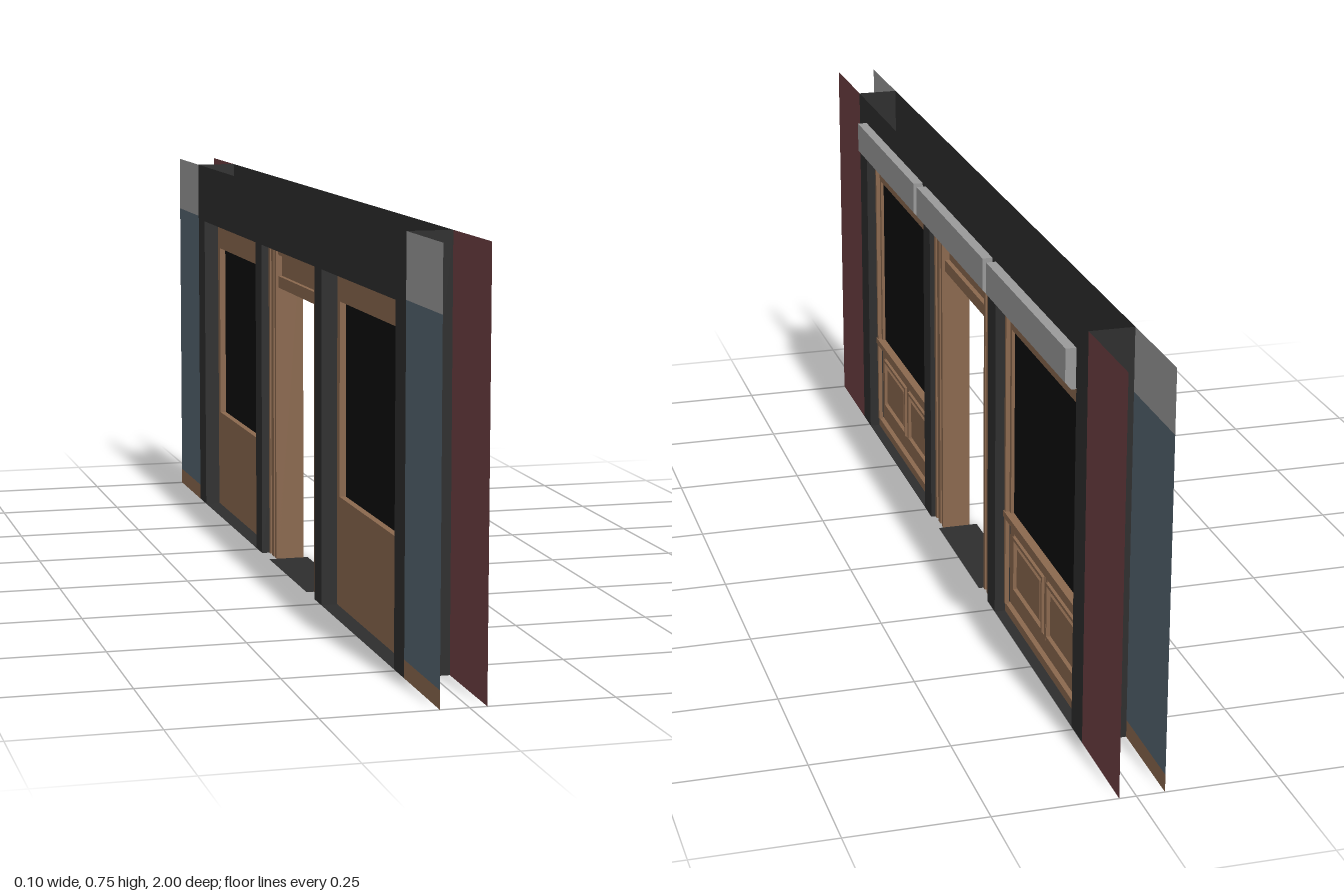
import * as THREE from 'three';

const mat = (name, color, side = THREE.DoubleSide) => {
  const m = new THREE.MeshStandardMaterial({ color, side });
  m.name = name;
  return m;
};

export function createModel() {
  const charcoal = mat('charcoal paint', 0x2e2e2e);
  const wood = mat('brown wood', 0x8a684e);
  const black = mat('black glass', 0x0d0d0d);
  const grey = mat('light grey', 0x999999);
  const red = mat('dark red wall', 0x6e4042);
  const blue = mat('slate blue wall', 0x55646f);

  const group = new THREE.Group();
  group.name = 'shopfront';

  const add = (parent, name, geometry, material) => {
    const mesh = new THREE.Mesh(geometry, material);
    mesh.name = name;
    parent.add(mesh);
    return mesh;
  };
  // Box given by its ranges on each axis
  const box = (parent, name, m, x0, x1, y0, y1, z0, z1) =>
    add(parent, name, new THREE.BoxGeometry(x1 - x0, y1 - y0, z1 - z0), m)
      .position.set((x0 + x1) / 2, (y0 + y1) / 2, (z0 + z1) / 2);
  // Zero-thickness sheets facing x, y and z
  const sheetX = (parent, name, m, x, y0, y1, z0, z1) =>
    add(parent, name, new THREE.PlaneGeometry(z1 - z0, y1 - y0).rotateY(x < 0 ? -Math.PI / 2 : Math.PI / 2), m)
      .position.set(x, (y0 + y1) / 2, (z0 + z1) / 2);
  const sheetY = (parent, name, m, y, x0, x1, z0, z1) =>
    add(parent, name, new THREE.PlaneGeometry(x1 - x0, z1 - z0).rotateX(-Math.PI / 2), m)
      .position.set((x0 + x1) / 2, y, (z0 + z1) / 2);
  const sheetZ = (parent, name, m, z, x0, x1, y0, y1) =>
    add(parent, name, new THREE.PlaneGeometry(x1 - x0, y1 - y0), m)
      .position.set((x0 + x1) / 2, (y0 + y1) / 2, z);
  // Rectangular moulding standing in the z-y plane
  const moulding = (parent, name, x0, x1, y0, y1, z0, z1, w) => {
    box(parent, name, wood, x0, x1, y0, y0 + w, z0, z1);
    box(parent, name, wood, x0, x1, y1 - w, y1, z0, z1);
    box(parent, name, wood, x0, x1, y0 + w, y1 - w, z0, z0 + w);
    box(parent, name, wood, x0, x1, y0 + w, y1 - w, z1 - w, z1);
  };

  const XB = -0.05, XF = 0.03, TOP = 0.75, HEAD = 0.63;

  // Front and back skins with openings for two windows and a door
  const outline = [[-0.8, 0], [-0.74, 0], [-0.74, HEAD], [-0.26, HEAD], [-0.26, 0], [-0.21, 0], [-0.21, HEAD],
    [0.21, HEAD], [0.21, 0], [0.26, 0], [0.26, HEAD], [0.74, HEAD], [0.74, 0], [0.8, 0], [0.8, TOP], [-0.8, TOP]];
  const skin = new THREE.Shape(outline.map(([a, b]) => new THREE.Vector2(a, b)));
  add(group, 'frontFascia', new THREE.ShapeGeometry(skin).rotateY(Math.PI / 2), charcoal).position.x = XF;
  add(group, 'backFascia', new THREE.ShapeGeometry(skin).rotateY(-Math.PI / 2), charcoal).position.x = XB;

  // Reveals, soffit and floor inside the hollow frame
  for (const s of [-1, 1]) {
    sheetZ(group, 'pillarEnd', charcoal, s * 0.8, XB, XF, 0, TOP);
    for (const z of [0.74, 0.26, 0.21]) sheetZ(group, 'postReveal', charcoal, s * z, XB, XF, 0, HEAD);
    sheetY(group, 'baseFloor', charcoal, 0, XB, XF, s > 0 ? 0.21 : -0.74, s > 0 ? 0.74 : -0.21);
  }
  sheetY(group, 'soffit', charcoal, HEAD, XB, XF, -0.74, 0.74);
  sheetY(group, 'doorThreshold', charcoal, 0, XB, XF, -0.15, 0.15);

  // Shutter housings with a chamfered lower lip
  const lip = new THREE.Shape([[0, 0.627], [0.038, 0.627], [0.049, 0.64], [0.049, 0.7], [0, 0.7]]
    .map(([a, b]) => new THREE.Vector2(a, b)));
  for (const z of [-0.5, 0, 0.5]) {
    const housing = new THREE.ExtrudeGeometry(lip, { depth: 0.476, bevelEnabled: false });
    add(group, 'shutterHousing', housing, grey).position.z = z - 0.238;
  }

  // Window bays
  for (const c of [-0.5, 0.5]) {
    const bay = new THREE.Group();
    bay.name = 'windowBay';
    bay.position.z = c;
    group.add(bay);
    box(bay, 'windowGlass', black, -0.008, -0.002, 0.2, 0.58, -0.225, 0.225);
    box(bay, 'windowHead', wood, -0.02, 0.004, 0.572, HEAD, -0.24, 0.24);
    box(bay, 'stallBoard', wood, -0.02, 0, 0.001, 0.205, -0.24, 0.24);
    box(bay, 'windowSill', wood, -0.02, 0.014, 0.196, 0.208, -0.24, 0.24);
    box(bay, 'skirting', wood, 0, 0.01, 0.001, 0.018, -0.24, 0.24);
    for (const s of [-1, 1]) {
      box(bay, 'windowStile', wood, -0.02, 0.004, 0.205, 0.572, s * 0.231 - 0.009, s * 0.231 + 0.009);
      box(bay, 'windowTrim', wood, 0.004, 0.012, 0.018, HEAD, s * 0.236 - 0.004, s * 0.236 + 0.004);
      // Stepped moulding around a raised field
      const z = s * 0.105;
      moulding(bay, 'panelMoulding', 0, 0.004, 0.049, 0.182, z - 0.104, z + 0.104, 0.008);
      moulding(bay, 'panelInnerMoulding', 0, 0.008, 0.06, 0.171, z - 0.093, z + 0.093, 0.006);
      const field = new THREE.CylinderGeometry(0.9 * Math.SQRT1_2, Math.SQRT1_2, 1, 4, 1)
        .rotateY(Math.PI / 4).rotateZ(-Math.PI / 2).scale(0.006, 0.086, 0.158).toNonIndexed();
      field.computeVertexNormals();
      add(bay, 'panelField', field, wood).position.set(0.003, 0.1155, z);
    }
  }

  // Door surround: stepped jambs and a stepped head
  for (const s of [-1, 1]) {
    box(group, 'doorJamb', wood, -0.03, 0.015, 0, HEAD, s * 0.18 - 0.03, s * 0.18 + 0.03);
    for (const [z, w] of [[0.155, 0.005], [0.179, 0.009], [0.205, 0.005]]) {
      box(group, 'jambBead', wood, -0.035, 0.021, 0, HEAD, s * z - w, s * z + w);
    }
  }
  box(group, 'doorHead', wood, -0.022, 0.006, 0.56, HEAD, -0.15, 0.15);
  box(group, 'doorHeadRail', wood, -0.03, 0.015, 0.55, 0.573, -0.15, 0.15);
  box(group, 'doorHeadTrim', wood, -0.03, 0.015, 0.615, HEAD, -0.15, 0.15);

  // Side walls: red outside, painted bands inside
  for (const [z0, z1] of [[-1, -0.8], [0.8, 1]]) {
    sheetX(group, 'outerWall', red, XF, 0, TOP, z0, z1);
    sheetX(group, 'innerWallBase', wood, XB, 0, 0.032, z0, z1);
    sheetX(group, 'innerWall', blue, XB, 0.032, 0.637, z0, z1);
    sheetX(group, 'innerWallTop', grey, XB, 0.637, TOP, z0, z1);
  }
  return group;
}
